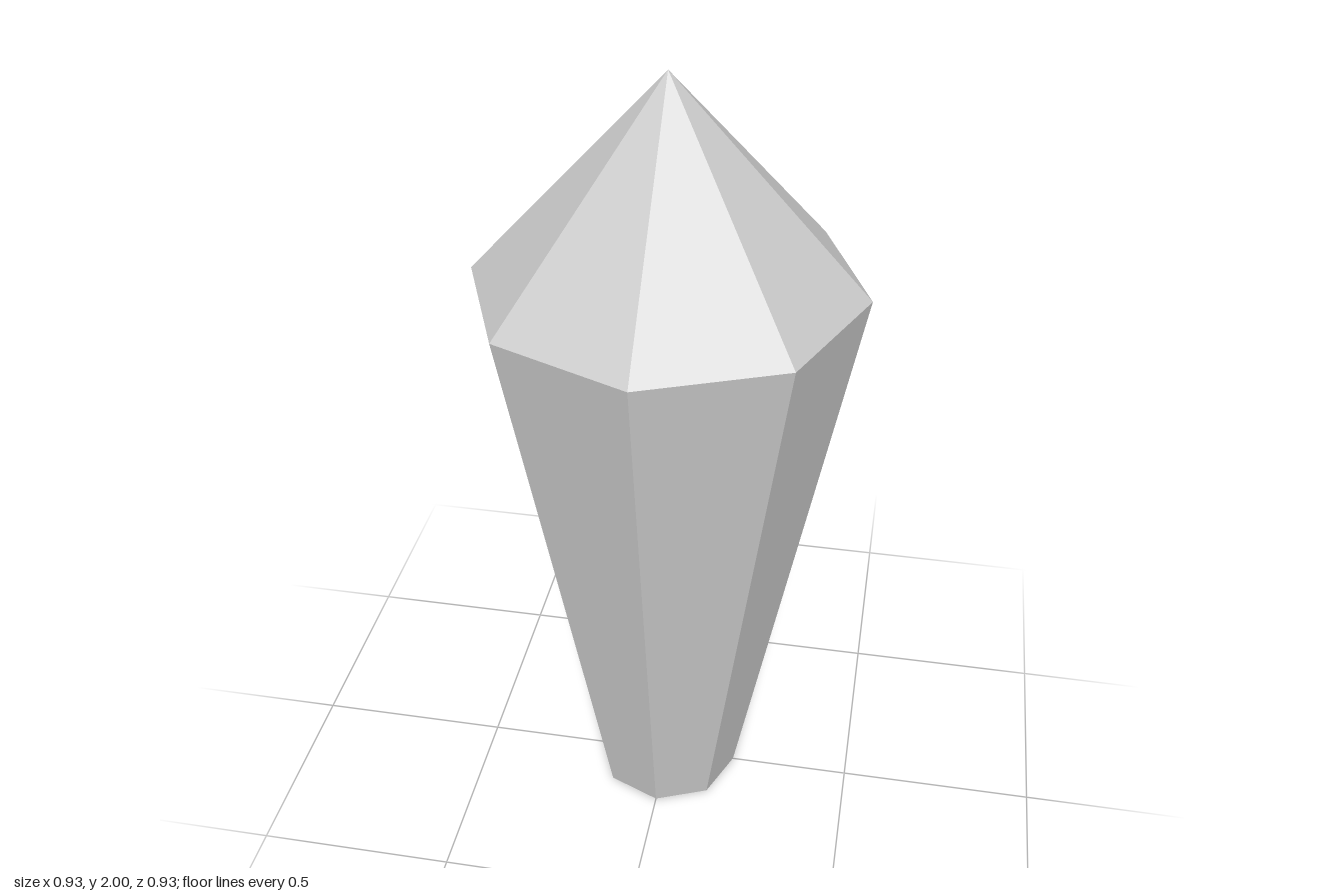
import * as THREE from 'three';

const SIDES = 8;
const BASE_RADIUS = 0.186;
const GIRDLE_RADIUS = 0.464;
const GIRDLE_Y = 1.495;
const HEIGHT = 2;

export function createModel() {
  const group = new THREE.Group();
  group.name = 'crystal';
  const material = new THREE.MeshStandardMaterial({ color: 0xcccccc, flatShading: true });

  // One faceted section; each profile point is (radius, height)
  const addSection = (name, profile) => {
    const points = profile.map(([r, y]) => new THREE.Vector2(r, y));
    const mesh = new THREE.Mesh(new THREE.LatheGeometry(points, SIDES), material);
    mesh.name = name;
    group.add(mesh);
  };

  // Tapered shaft with its closed flat base
  addSection('shaft', [[0, 0], [BASE_RADIUS, 0], [GIRDLE_RADIUS, GIRDLE_Y]]);
  // Pointed tip
  addSection('tip', [[GIRDLE_RADIUS, GIRDLE_Y], [0, HEIGHT]]);

  return group;
}
